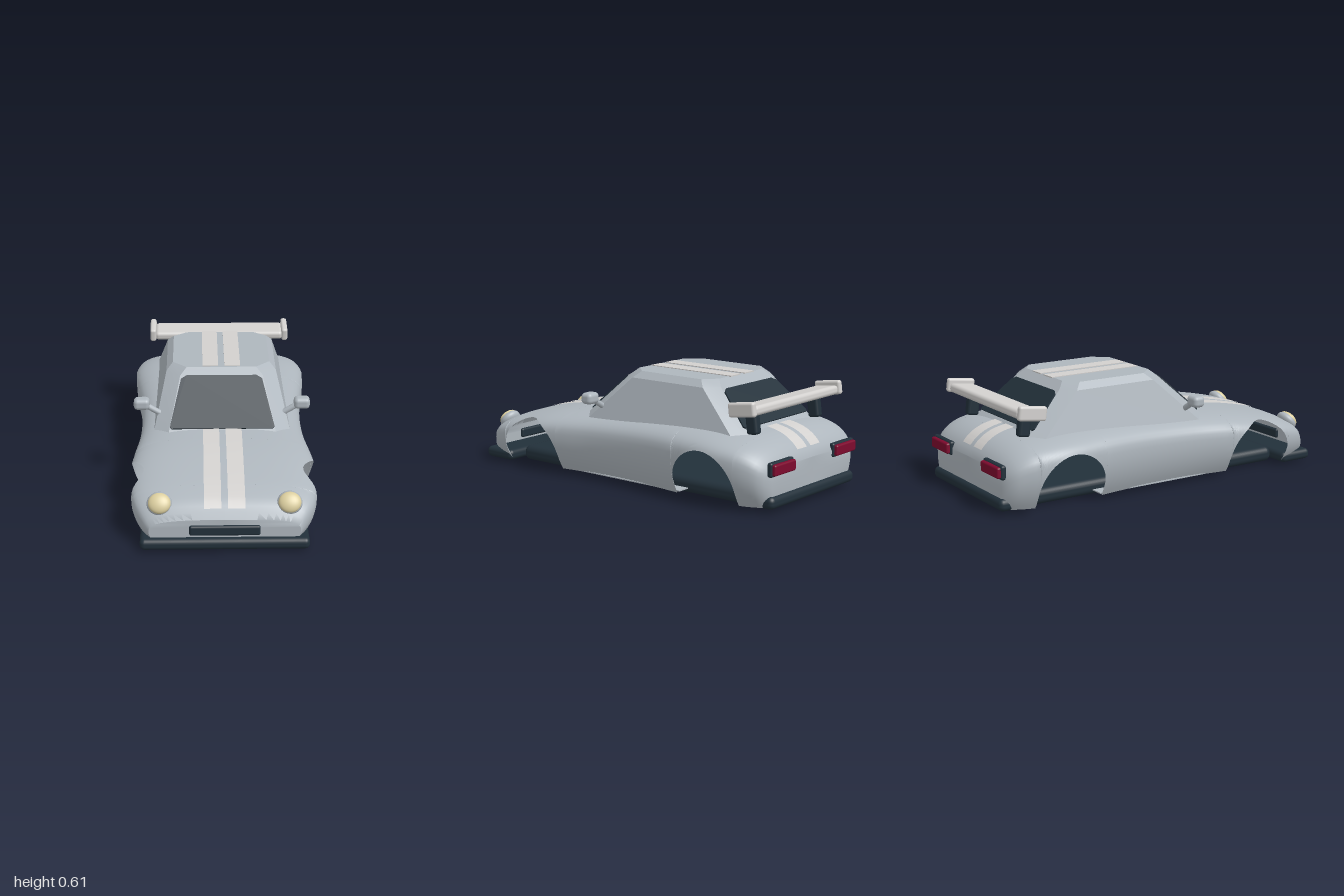
import * as THREE from 'three';
import { toCreasedNormals } from 'three/addons/utils/BufferGeometryUtils.js';
import { RoundedBoxGeometry } from 'three/addons/geometries/RoundedBoxGeometry.js';

const material = (name, color, side = THREE.FrontSide) => {
  const m = new THREE.MeshStandardMaterial({ color, side });
  m.name = name;
  return m;
};

// Skin through rows of points that all have the same length
function loft(rows, crease = 0.6) {
  const n = rows[0].length, index = [];
  for (let j = 0; j < rows.length - 1; j++) {
    for (let k = 0; k < n - 1; k++) {
      const a = j * n + k, c = a + n;
      index.push(a, a + 1, c, a + 1, c + 1, c);
    }
  }
  const geo = new THREE.BufferGeometry();
  geo.setAttribute('position', new THREE.Float32BufferAttribute(rows.flat(2), 3));
  geo.setIndex(index);
  return toCreasedNormals(geo, crease);
}

// Body stations: z, roofless top height, half width
const STATIONS = [
  [-0.97, 0.23, 0.36], [-0.94, 0.285, 0.42], [-0.88, 0.335, 0.46], [-0.8, 0.365, 0.485],
  [-0.65, 0.385, 0.5], [-0.45, 0.39, 0.48], [-0.2, 0.385, 0.45], [0, 0.375, 0.44],
  [0.2, 0.365, 0.445], [0.4, 0.353, 0.47], [0.55, 0.335, 0.485], [0.75, 0.295, 0.475],
  [0.85, 0.265, 0.455], [0.92, 0.23, 0.42], [0.965, 0.17, 0.38],
];
const POWER = 3.2, BOTTOM = 0.03;

// Smooth interpolation between stations
function station(z) {
  const S = STATIONS, last = S.length - 1;
  let i = 0;
  while (i < last - 1 && z > S[i + 1][0]) i++;
  const h = S[i + 1][0] - S[i][0];
  const t = THREE.MathUtils.clamp((z - S[i][0]) / h, 0, 1);
  const value = (c) => {
    const slope = (k) => {
      const p = S[Math.max(k - 1, 0)], q = S[Math.min(k + 1, last)];
      return (q[c] - p[c]) / (q[0] - p[0]);
    };
    const a = S[i][c], b = S[i + 1][c], t2 = t * t, t3 = t2 * t;
    return a * (2 * t3 - 3 * t2 + 1) + b * (3 * t2 - 2 * t3)
      + h * (slope(i) * (t3 - 2 * t2 + t) + slope(i + 1) * (t3 - t2));
  };
  const top = value(1);
  return { top, w: value(2), mid: top * 0.62 };
}

function surfaceY(x, z) {
  const { top, w, mid } = station(z);
  return mid + (top - mid) * Math.pow(1 - Math.pow(Math.abs(x) / w, POWER), 1 / POWER);
}

// Section at z, running from the left lower edge over the top to the right lower edge
function section(z, lower) {
  const { top, w, mid } = station(z), e = 2 / POWER, N = 20;
  const start = lower < mid
    ? -(mid - lower) / (mid - BOTTOM)
    : Math.asin(Math.pow((lower - mid) / (top - mid), 1 / e));
  const half = [];
  for (let i = 0; i <= N; i++) {
    const a = start + (Math.PI / 2 - start) * (i / N);
    if (a < 0) half.push([w * (1 - 0.13 * a * a), mid + a * (mid - BOTTOM), z]);
    else half.push([w * Math.pow(Math.max(Math.cos(a), 0), e), mid + (top - mid) * Math.pow(Math.sin(a), e), z]);
  }
  half[N][0] = 0;
  return [...half, ...half.slice(0, N).reverse().map(([x, y, zz]) => [-x, y, zz])];
}

function bodyShell() {
  const rows = [];
  const plain = (z0, z1, n) => {
    for (let i = 0; i <= n; i++) rows.push(section(z0 + (z1 - z0) * i / n, BOTTOM));
  };
  const arch = (zc, r) => {
    for (let i = 0; i <= 24; i++) {
      const a = Math.PI * (1 - i / 24);
      rows.push(section(zc + r * Math.cos(a), 0.095 + r * Math.sin(a)));
    }
  };
  plain(-0.97, -0.812, 8);
  arch(-0.612, 0.2);
  plain(-0.412, 0.405, 20);
  arch(0.603, 0.198);
  plain(0.801, 0.965, 8);
  const cap = (row) => row.map(([, y, z]) => [0, y, z]);
  return loft([cap(rows[0]), ...rows, cap(rows[rows.length - 1])]);
}

// Cabin ring: rectangle with cut corners
function cabinRing(y, xh, front, back, flat = 1) {
  const cx = xh - 0.075, f = front - 0.08, b = back + 0.06;
  const p = [[xh, f], [xh, b], [cx, back], [-cx, back], [-xh, b], [-xh, f], [-cx, front], [cx, front], [xh, f]];
  return p.map(([x, z]) => [x * flat, y, z]);
}

// Thin trapezoid window with cut upper corners
function pane(bottom, top, height) {
  const c = 0.02, s = new THREE.Shape();
  s.moveTo(-bottom, 0.01);
  s.lineTo(-bottom + 0.01, 0);
  s.lineTo(bottom - 0.01, 0);
  s.lineTo(bottom, 0.01);
  s.lineTo(top + 0.01, height - c);
  s.lineTo(top - c, height);
  s.lineTo(-top + c, height);
  s.lineTo(-top - 0.01, height - c);
  s.closePath();
  return new THREE.ExtrudeGeometry(s, { depth: 0.008, bevelEnabled: false });
}

export function createModel() {
  const silver = material('silver paint', 0xaeb6bd, THREE.DoubleSide);
  const dark = material('dark trim', 0x22303a);
  const pale = material('pale stripe', 0xd2d0ce);
  const red = material('red lamp', 0x7d0a2e);
  const cream = material('cream lens', 0xdacd9e);

  const car = new THREE.Group();
  car.name = 'car';
  const add = (name, geo, mat, x = 0, y = 0, z = 0, rx = 0) => {
    const m = new THREE.Mesh(geo, mat);
    m.name = name;
    m.position.set(x, y, z);
    m.rotation.x = rx;
    car.add(m);
    return m;
  };
  const box = (w, h, d, r) => new RoundedBoxGeometry(w, h, d, 3, r);

  // Shell, cabin and floor
  add('bodyShell', bodyShell(), silver);
  add('cabin', loft([
    cabinRing(0.3, 0.374, 0.365, -0.834),
    cabinRing(0.575, 0.3, 0.068, -0.547),
    cabinRing(0.61, 0.265, 0.03, -0.51),
    cabinRing(0.61, 0.265, 0.03, -0.51, 0),
  ], 0.35), silver);
  add('floorPan', box(0.64, 0.084, 1.62, 0.035), dark, 0, 0.046, -0.005);

  // Windows lie on the sloping ends of the cabin
  add('windscreen', pane(0.28, 0.21, 0.314), dark, 0, 0.361, 0.299, -0.823);
  const rear = add('rearWindow', pane(0.285, 0.22, 0.249), dark, 0, 0.39, -0.74);
  rear.rotation.set(-0.807, Math.PI, 0, 'YXZ');

  // Bumpers and grille
  add('frontBumper', box(0.85, 0.06, 0.2, 0.025), dark, 0, 0.044, 0.9);
  add('rearBumper', box(0.77, 0.066, 0.12, 0.028), dark, 0, 0.057, -0.93);
  add('grille', box(0.356, 0.054, 0.03, 0.012), dark, 0, 0.113, 0.965);

  // Wing
  add('wingBlade', box(0.76, 0.05, 0.145, 0.02), pale, 0, 0.505, -0.81, 0.13);

  // Stripes following the body from z0 to z1
  const stripe = (x0, x1, z0, z1) => {
    const rows = [];
    for (let i = 0; i <= 24; i++) {
      const z = z0 + (z1 - z0) * i / 24;
      rows.push([1, 0.67, 0.33, 0].map((t) => {
        const x = x0 + (x1 - x0) * t;
        return [x, surfaceY(x, z) + 0.004, z];
      }));
    }
    return loft(rows);
  };

  for (const s of [1, -1]) {
    const x0 = s > 0 ? 0.017 : -0.103, x1 = s > 0 ? 0.103 : -0.017;
    add('hoodStripe', stripe(x0, x1, 0.3, 0.935), pale);
    add('tailStripe', stripe(x0, x1, -0.945, -0.74), pale);
    add('roofStripe', new THREE.BoxGeometry(0.086, 0.006, 0.54), pale, s * 0.06, 0.611, -0.25);

    // Headlamp: tilted pod with a lens on its face
    const pod = add('headlampPod', new THREE.SphereGeometry(1, 28, 18), silver, s * 0.325, 0.23, 0.9, -0.65);
    pod.scale.set(0.064, 0.06, 0.036);
    const lens = add('headlampLens', new THREE.SphereGeometry(1, 28, 18), cream, s * 0.325, 0.239, 0.914, -0.65);
    lens.scale.set(0.057, 0.053, 0.028);

    // Tail lamp
    add('tailLampFrame', box(0.2, 0.076, 0.03, 0.012), dark, s * 0.283, 0.228, -0.966);
    add('tailLamp', box(0.184, 0.058, 0.03, 0.01), red, s * 0.283, 0.228, -0.985);

    // Mirror and its arm
    add('mirror', box(0.086, 0.062, 0.07, 0.022), silver, s * 0.432, 0.46, 0.175);
    const arm = add('mirrorArm', new THREE.CylinderGeometry(0.016, 0.016, 0.14, 12), silver, s * 0.365, 0.42, 0.17);
    arm.rotation.z = -s * 1.03;

    // Wing end plate and strut
    add('wingEndPlate', box(0.036, 0.076, 0.16, 0.014), pale, s * 0.393, 0.515, -0.807, 0.13);
    add('wingStrut', box(0.05, 0.12, 0.066, 0.015), dark, s * 0.28, 0.43, -0.793, 0.13);

    // Underside lip between the sill and the floor
    add('sillLip', new THREE.BoxGeometry(0.1, 0.006, 0.81), silver, s * 0.345, 0.033, -0.003);
  }
  return car;
}
